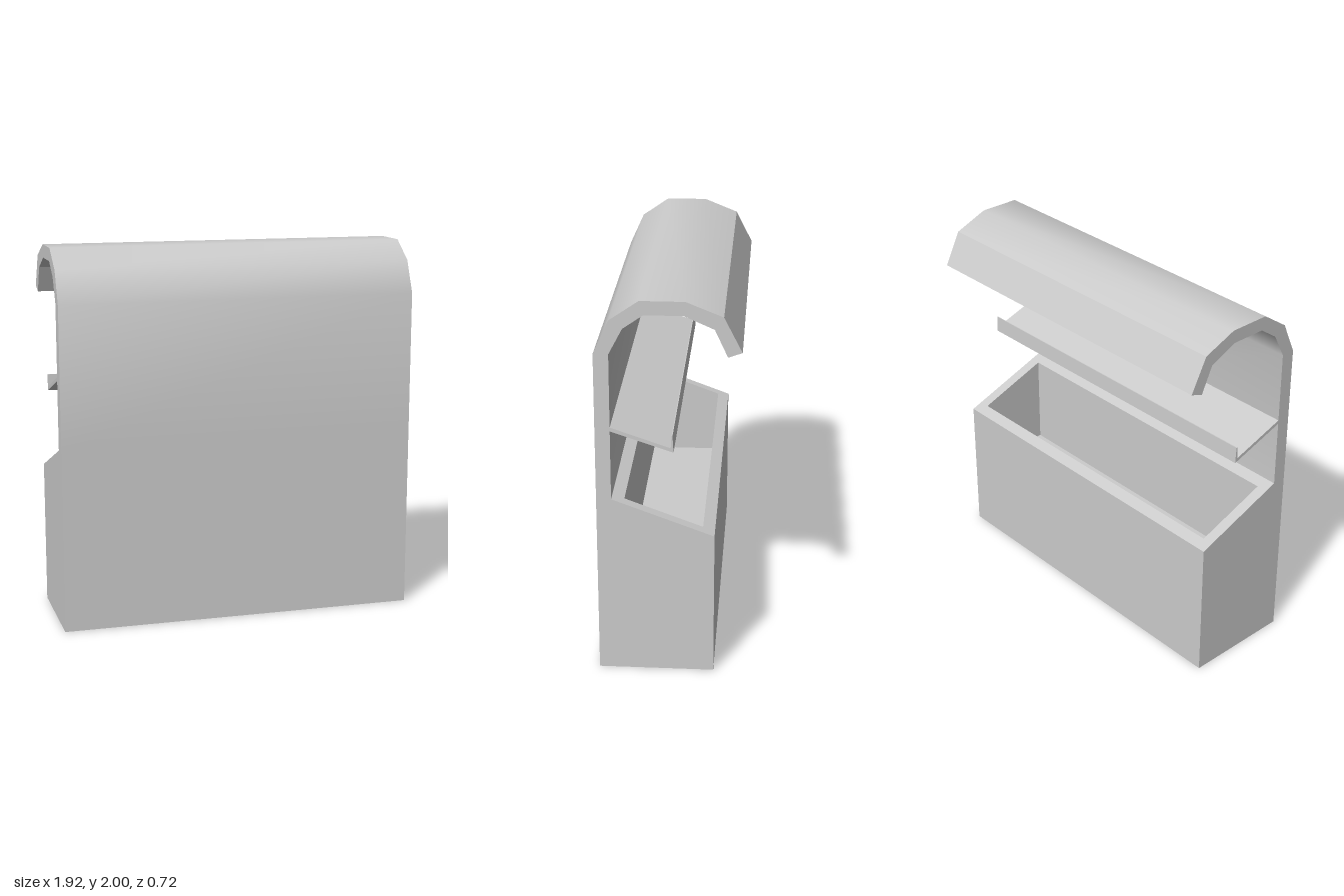
import * as THREE from 'three';
import { toCreasedNormals } from 'three/addons/utils/BufferGeometryUtils.js';

const HALF = 0.96; // half width along x

// Extrudes a side profile, given as [z, y] points, over the full width
function sideExtrude(name, points, material) {
  const shape = new THREE.Shape(points.map(([z, y]) => new THREE.Vector2(z, y)));
  const geo = new THREE.ExtrudeGeometry(shape, { depth: 2 * HALF, bevelEnabled: false });
  geo.translate(0, 0, -HALF).rotateY(-Math.PI / 2);
  const mesh = new THREE.Mesh(toCreasedNormals(geo, THREE.MathUtils.degToRad(39)), material);
  mesh.name = name;
  return mesh;
}

// Joins closed loops of [x, y, z] points with flat quads and caps the last loop
function loft(name, loops, material) {
  const pos = [];
  for (let k = 0; k + 1 < loops.length; k++) {
    const a = loops[k], b = loops[k + 1], n = a.length;
    for (let i = 0; i < n; i++) {
      const j = (i + 1) % n;
      pos.push(...a[i], ...a[j], ...b[j], ...a[i], ...b[j], ...b[i]);
    }
  }
  const last = loops[loops.length - 1];
  for (let i = 1; i + 1 < last.length; i++) pos.push(...last[0], ...last[i], ...last[i + 1]);
  const geo = new THREE.BufferGeometry();
  geo.setAttribute('position', new THREE.Float32BufferAttribute(pos, 3));
  geo.computeVertexNormals();
  const mesh = new THREE.Mesh(geo, material);
  mesh.name = name;
  return mesh;
}

// Mirrored loop: one side as [y, z] points from front to back, then the other side
function loop(w, side) {
  return [
    ...side.map(([y, z]) => [w, y, z]),
    ...side.slice().reverse().map(([y, z]) => [-w, y, z]),
  ];
}

export function createModel() {
  const group = new THREE.Group();
  const grey = new THREE.MeshStandardMaterial({ color: 0xcccccc });
  const greyDouble = new THREE.MeshStandardMaterial({ color: 0xcccccc, side: THREE.DoubleSide });

  // Front panel curling over into a hooked hood
  group.add(sideExtrude('panelAndHood', [
    [0.36, 0.965], [0.36, 1.73], [0.283, 1.9], [0.137, 2], [-0.083, 2], [-0.265, 1.927], [-0.355, 1.752],
    [-0.286, 1.727], [-0.222, 1.865], [-0.075, 1.93], [0.116, 1.93], [0.217, 1.86], [0.285, 1.73], [0.285, 0.965],
  ], grey));

  // Sloping shelf with a thin upturned lip
  group.add(sideExtrude('shelf', [
    [0.287, 1.352], [-0.012, 1.25], [-0.016, 1.315], [-0.021, 1.315], [-0.026, 1.227], [0.287, 1.332],
  ], grey));

  // Bin: outer walls open below, slanted rim, recessed pocket
  const top = (z) => 0.965 + (z - 0.285) * 0.369;
  const zf = 0.225, zb = -0.17, inner = HALF - 0.06, floor = 0.43;
  group.add(loft('bin', [
    loop(HALF, [[0, 0.36], [0, 0.285], [0, -0.23]]),
    loop(HALF, [[0.965, 0.36], [0.965, 0.285], [top(-0.23), -0.23]]),
    loop(HALF, [[0.965, 0.285], [0.965, 0.285], [top(-0.23), -0.23]]),
    loop(inner, [[top(zf), zf], [top(zf), zf], [top(zb), zb]]),
    loop(inner, [[floor, zf], [floor, zf], [floor, zb]]),
  ], greyDouble));

  return group;
}
